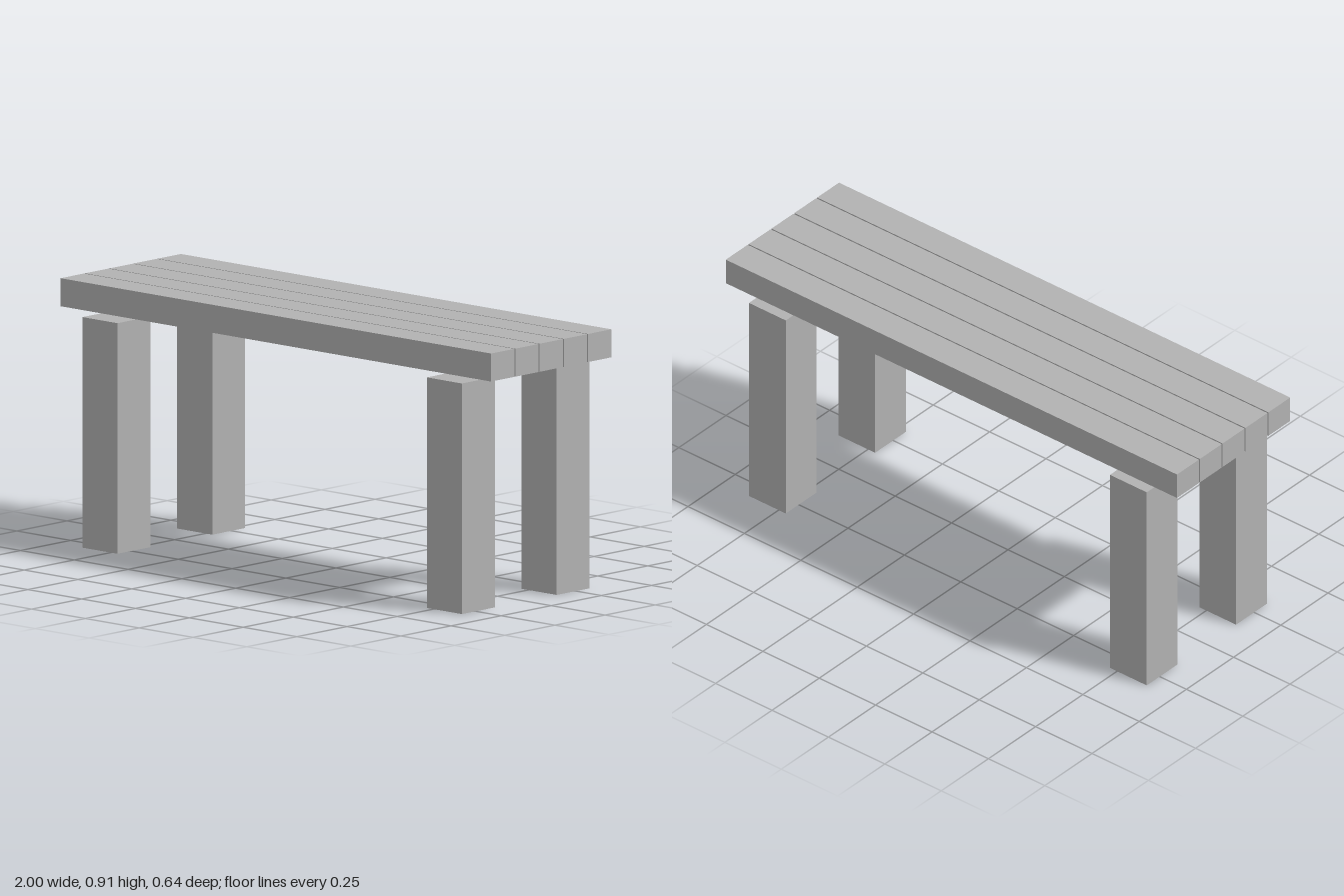
import * as THREE from 'three';

export function createModel() {
  const bench = new THREE.Group();
  bench.name = 'bench';

  const grey = new THREE.MeshStandardMaterial({ color: 0xb2b2b2 });
  grey.name = 'plain grey';

  function addBox(name, size, position) {
    const mesh = new THREE.Mesh(new THREE.BoxGeometry(...size), grey);
    mesh.name = name;
    mesh.position.set(...position);
    bench.add(mesh);
  }

  // Seat: five long slats with narrow gaps between them
  const slatPitch = 0.121;
  for (let i = -2; i <= 2; i++) {
    addBox(`seatSlat${i + 3}`, [2, 0.097, 0.116], [0, 0.866, i * slatPitch]);
  }

  // Four square legs, stopping just short of the seat
  const legHeight = 0.798;
  for (const [side, sx] of [['Left', 1], ['Right', -1]]) {
    for (const [end, sz] of [['front', 1], ['back', -1]]) {
      addBox(`${end}${side}Leg`, [0.163, legHeight, 0.164], [sx * 0.8, legHeight / 2, sz * 0.2365]);
    }
  }

  return bench;
}
